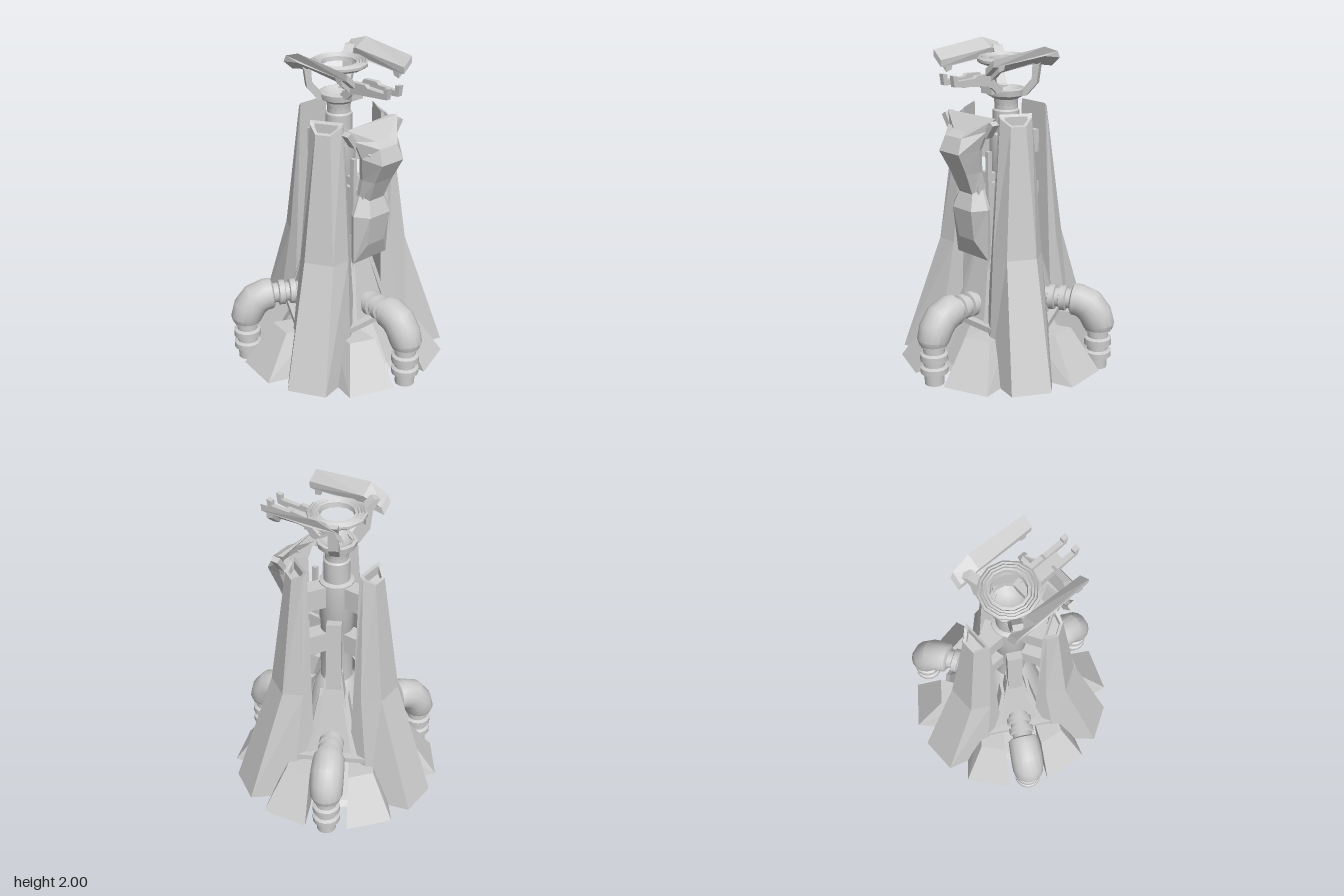
import * as THREE from 'three';
import { toCreasedNormals } from 'three/addons/utils/BufferGeometryUtils.js';

const flat = new THREE.MeshStandardMaterial({ color: 0xcccccc, flatShading: true, side: THREE.DoubleSide });
const smooth = new THREE.MeshStandardMaterial({ color: 0xcccccc, side: THREE.DoubleSide });

function add(parent, name, geometry, material = flat) {
  const mesh = new THREE.Mesh(geometry, material);
  mesh.name = name;
  parent.add(mesh);
  return mesh;
}

function box(parent, name, size, pos) {
  const mesh = add(parent, name, new THREE.BoxGeometry(...size));
  mesh.position.set(...pos);
  return mesh;
}

// Solid skin over equal-length loops of [x, y, z], capped at both ends, faces turned outward
function loft(loops) {
  const tris = [], n = loops[0].length, last = loops[loops.length - 1];
  for (let k = 0; k < loops.length - 1; k++) {
    for (let i = 0; i < n; i++) {
      const j = (i + 1) % n, [a, b] = [loops[k], loops[k + 1]];
      tris.push([a[i], a[j], b[j]], [a[i], b[j], b[i]]);
    }
  }
  for (let i = 1; i < n - 1; i++) {
    tris.push([loops[0][0], loops[0][i + 1], loops[0][i]], [last[0], last[i], last[i + 1]]);
  }
  let volume = 0;
  const v = tris.map((t) => t.map((p) => new THREE.Vector3(...p)));
  for (const [a, b, c] of v) volume += a.dot(b.clone().cross(c));
  const points = v.flatMap(([a, b, c]) => (volume < 0 ? [a, c, b] : [a, b, c]));
  const geometry = new THREE.BufferGeometry().setFromPoints(points);
  geometry.computeVertexNormals();
  return geometry;
}

// Outline given as [z, y], extruded along x and centred on x = 0
function sidePlate(outline, width) {
  const shape = new THREE.Shape(outline.map(([z, y]) => new THREE.Vector2(-z, y)));
  return new THREE.ExtrudeGeometry(shape, { depth: width, bevelEnabled: false })
    .translate(0, 0, -width / 2).rotateY(Math.PI / 2);
}

function lathe(profile, sides = 16) {
  const pts = profile.map(([r, y]) => new THREE.Vector2(r, y));
  return toCreasedNormals(new THREE.LatheGeometry(pts, sides), 0.6);
}

// Three copies around the axis, each built with its outward direction along +z
function around(parent, name, start, build) {
  for (let i = 0; i < 3; i++) {
    const group = new THREE.Group();
    group.name = name;
    group.rotation.y = start + (i * Math.PI * 2) / 3;
    build(group, i);
    parent.add(group);
  }
}

// Tall buttress with a bent outer edge and a sunken top
function buildFin(group) {
  const level = (ys, [ri, hi], [rm, hm], [ro, ho]) => [
    [-hi, ys[0], ri], [-hm, ys[1], rm], [-ho, ys[2], ro],
    [ho, ys[2], ro], [hm, ys[1], rm], [hi, ys[0], ri]];
  add(group, 'finBody', loft([
    level([0.03, 0.03, 0.03], [0.23, 0.19], [0.39, 0.2], [0.65, 0.12]),
    level([0.78, 0.78, 0.78], [0.23, 0.145], [0.29, 0.15], [0.4, 0.09]),
    level([1.62, 1.6, 1.56], [0.23, 0.1], [0.25, 0.095], [0.305, 0.045]),
    level([1.605, 1.59, 1.565], [0.24, 0.07], [0.253, 0.067], [0.29, 0.035]),
    level([1.55, 1.54, 1.53], [0.24, 0.07], [0.253, 0.067], [0.285, 0.035]),
  ]));
  // braces to the column
  box(group, 'upperBrace', [0.1, 0.14, 0.18], [0, 1.38, 0.16]);
  box(group, 'lowerBrace', [0.1, 0.13, 0.16], [0, 1.055, 0.17]);
}

// Pipe with ribs and an elbow cover, the pair of foot wedges and the inner panels
function buildPipeSide(group) {
  const stack = [[0.001, 0], [0.06, 0], [0.06, 0.07], [0.085, 0.075], [0.085, 0.11], [0.065, 0.12],
    [0.065, 0.15], [0.085, 0.155], [0.085, 0.195], [0.065, 0.205], [0.065, 0.24], [0.08, 0.245], [0.08, 0.3]];
  add(group, 'ribbedPipe', lathe(stack), smooth).position.z = 0.595;

  // elbow cover swept from vertical to horizontal
  const rings = [[0.595, 0.26, 0, 0.088], [0.595, 0.29, 0.05, 0.1], [0.575, 0.35, 0.4, 0.103],
    [0.53, 0.405, 0.85, 0.103], [0.47, 0.428, 1.4, 0.1], [0.435, 0.43, 1.5, 0.097], [0.425, 0.43, 1.5, 0.08]];
  const elbow = loft(rings.map(([z, y, tilt, r]) => Array.from({ length: 16 }, (_, i) => {
    const a = (i / 16) * Math.PI * 2, d = Math.sin(a) * r;
    return [Math.cos(a) * r, y + d * Math.sin(tilt), z + d * Math.cos(tilt)];
  })));
  add(group, 'elbowCover', toCreasedNormals(elbow, 0.6), smooth);

  const inlet = [[0.06, 0], [0.06, 0.1], [0.078, 0.105], [0.078, 0.14], [0.06, 0.145],
    [0.06, 0.17], [0.078, 0.175], [0.078, 0.21], [0.062, 0.215], [0.062, 0.28]];
  const pipe = add(group, 'inletPipe', lathe(inlet), smooth);
  pipe.rotation.x = Math.PI / 2;
  pipe.position.set(0, 0.43, 0.18);

  for (const s of [-1, 1]) {
    const foot = (y, pts) => pts.map(([t, r]) => [s * t, y, r]);
    add(group, 'footWedge', loft([
      foot(0.03, [[0.13, 0.635], [0.4, 0.53], [0.34, 0.22], [0.1, 0.22]]),
      foot(0.29, [[0.12, 0.45], [0.27, 0.39], [0.25, 0.22], [0.1, 0.22]]),
    ]));
    // sloping side rails of the inner panel
    const rail = (y, x, r) => [[s * x, y, r], [s * (x + 0.035), y, r - 0.01],
      [s * (x + 0.035), y, r - 0.08], [s * x, y, r - 0.08]];
    add(group, 'panelRail', loft([rail(0.32, 0.13, 0.31), rail(0.72, 0.055, 0.2)]));
  }
  box(group, 'ledge', [0.46, 0.035, 0.16], [0, 0.325, 0.25]);
  const panel = (y, h, r) => [[-h, y, r], [h, y, r], [h, y, r - 0.07], [-h, y, r - 0.07]];
  add(group, 'innerPanel', loft([panel(0.32, 0.13, 0.29), panel(0.86, 0.05, 0.17)]));
  const spine = box(group, 'spinePlate', [0.09, 0.76, 0.05], [0, 0.86, 0.16]);
  spine.rotation.x = -0.05;
}

// Bent plate: rows of [flat half width, flat y, flat z, edge half width, edge y, edge z]
function bentPlate(rows, thickness) {
  return loft(rows.map(([h, y, z, eh, ey, ez]) => {
    const front = [[-eh, ey, ez], [-h, y, z], [h, y, z], [eh, ey, ez]];
    const back = front.map(([x, py, pz]) => [x * 0.92, py, pz - thickness]).reverse();
    return [...front, ...back];
  }));
}

function buildShield(parent) {
  add(parent, 'upperShield', bentPlate([
    [0.055, 1.13, 0.32, 0.085, 1.13, 0.26],
    [0.07, 1.28, 0.385, 0.09, 1.28, 0.3],
    [0.085, 1.41, 0.455, 0.125, 1.43, 0.33],
    [0.07, 1.5, 0.42, 0.165, 1.54, 0.31],
    [0.05, 1.53, 0.37, 0.2, 1.61, 0.285],
  ], 0.03));
  add(parent, 'lowerShield', bentPlate([
    [0.065, 0.86, 0.325, 0.135, 0.74, 0.275],
    [0.08, 1.05, 0.36, 0.15, 1.06, 0.29],
    [0.05, 1.18, 0.315, 0.08, 1.18, 0.27],
  ], 0.03));
  for (const s of [-1, 1]) {
    box(parent, 'shieldHorn', [0.035, 0.1, 0.05], [s * 0.18, 1.55, 0.29]).rotation.z = -s * 0.6;
    box(parent, 'shieldStrut', [0.025, 0.05, 0.24], [s * 0.07, 1.17, 0.18]);
    box(parent, 'shieldSideBar', [0.025, 0.3, 0.03], [s * 0.105, 1.25, 0.24]);
  }
}

function buildHead(parent) {
  add(parent, 'collar', lathe([[0.07, 1.63], [0.075, 1.67], [0.115, 1.695], [0.12, 1.73],
    [0.1, 1.735], [0.06, 1.7], [0.001, 1.69]], 12), smooth);
  // stepped ring
  add(parent, 'ring', lathe([[0.1, 1.885], [0.155, 1.88], [0.175, 1.895], [0.175, 1.91], [0.162, 1.92],
    [0.155, 1.91], [0.145, 1.92], [0.138, 1.91], [0.128, 1.915], [0.12, 1.905], [0.105, 1.91], [0.1, 1.885]], 12), smooth);
  const arm = [[0.08, 1.69], [0.13, 1.695], [0.195, 1.77], [0.21, 1.88], [0.255, 1.95],
    [0.22, 1.955], [0.17, 1.91], [0.165, 1.8], [0.11, 1.735], [0.08, 1.73]];
  around(parent, 'headArm', Math.PI, (group, i) => {
    group.rotation.y = [Math.PI * 2 / 3, -Math.PI * 2 / 3, 0][i];
    if (i < 2) add(group, 'armBracket', sidePlate(arm, 0.06));
    else box(group, 'frontBracket', [0.09, 0.05, 0.08], [0, 1.74, 0.12]);
  });

  // upper blades, leaning up towards the outside and tapered at the ends
  const blade = [[0.34, 1.965], [-0.05, 2], [-0.17, 1.96], [-0.19, 1.92], [-0.05, 1.945],
    [0.25, 1.925], [0.26, 1.9], [0.3, 1.89], [0.3, 1.92], [0.34, 1.925]];
  for (const s of [-1, 1]) {
    const geometry = sidePlate(blade, 0.085);
    const p = geometry.attributes.position;
    for (let i = 0; i < p.count; i++) {
      const out = s * p.getX(i), z = p.getZ(i);
      const narrow = z > 0.24 || z < -0.1 ? 0.75 : 1;
      p.setXYZ(i, s * (0.225 + out * narrow), p.getY(i) + (out - 0.0425) * 0.65, z);
    }
    add(parent, 'upperBlade', geometry);
  }

  // lowered front claw with two prongs
  const prong = [[0.08, 1.72], [0.13, 1.72], [0.18, 1.77], [0.455, 1.8], [0.465, 1.865], [0.43, 1.86],
    [0.43, 1.83], [0.3, 1.83], [0.28, 1.845], [0.18, 1.84], [0.15, 1.8], [0.08, 1.75]];
  for (const s of [-1, 1]) add(parent, 'clawProng', sidePlate(prong, 0.03)).position.x = s * 0.045;
  box(parent, 'clawBridge', [0.08, 0.025, 0.2], [0, 1.795, 0.27]);
  box(parent, 'clawHinge', [0.12, 0.04, 0.04], [0, 1.78, 0.17]);
}

export function createModel() {
  const model = new THREE.Group();
  model.name = 'tower';
  const body = new THREE.Group();
  body.name = 'towerBody';
  body.position.z = -0.02;
  model.add(body);

  // floor, core and stepped column
  add(body, 'floor', lathe([[0.001, 0.03], [0.47, 0.03], [0.44, 0.06], [0.3, 0.3], [0.001, 0.31]], 12));
  add(body, 'core', lathe([[0.22, 0.28], [0.13, 0.72], [0.1, 0.76], [0.1, 1.15], [0.105, 1.16],
    [0.105, 1.46], [0.08, 1.47], [0.08, 1.6], [0.07, 1.61], [0.07, 1.69]]), smooth);

  around(body, 'fin', Math.PI, buildFin);
  around(body, 'pipeSide', 0, buildPipeSide);
  buildShield(body);
  buildHead(body);
  return model;
}
